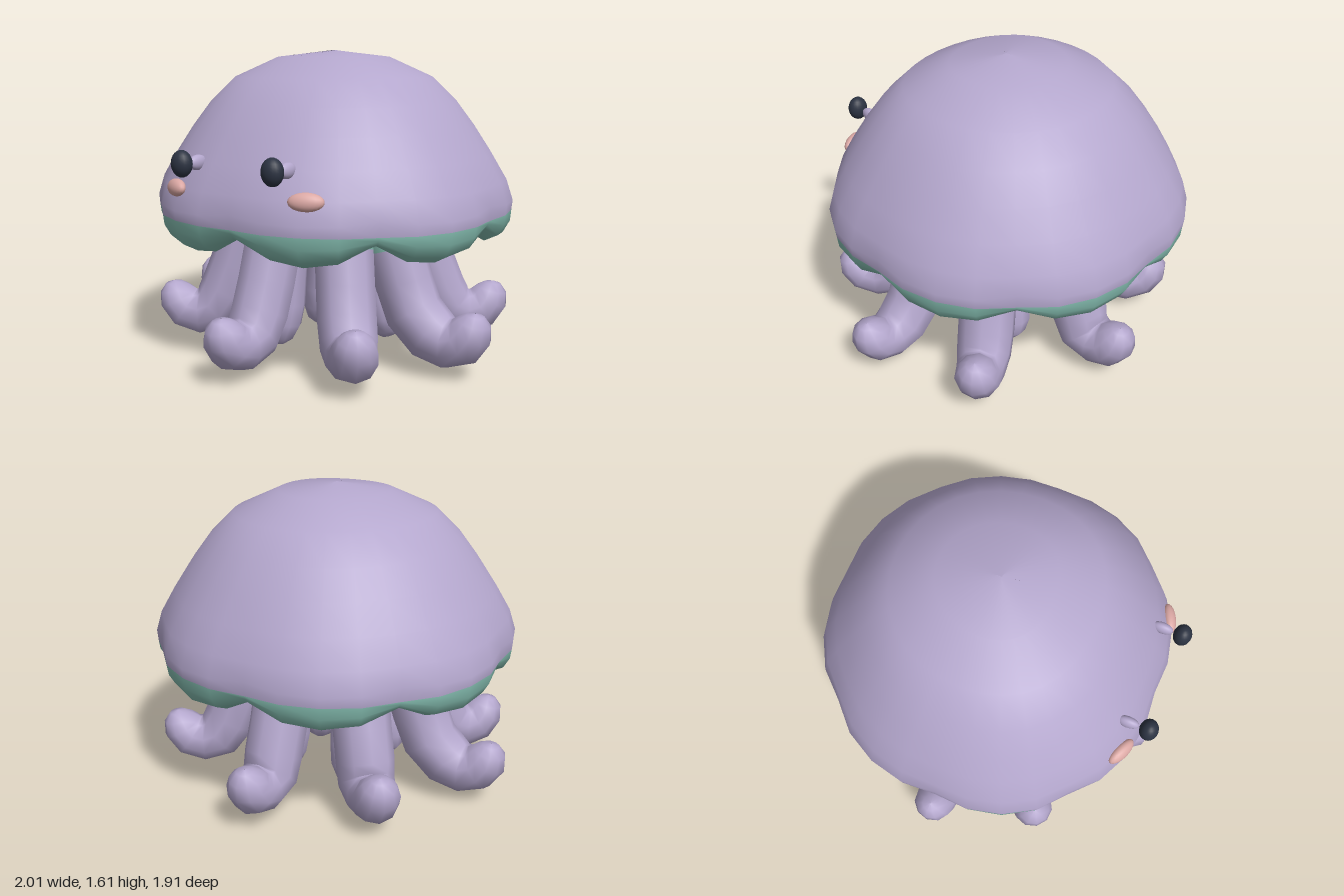
import * as THREE from 'three';

const mat = (color) => new THREE.MeshStandardMaterial({ color, side: THREE.DoubleSide });
const purple = mat(0xb4a7cd);
const green = mat(0x86bfb2);
const dark = mat(0x2c3342);
const pink = mat(0xdba8a4);

// Joins closed rings of points; bands lists [name, material, firstRing, lastRing] along the loft.
function loft(rings, bands) {
  const n = rings[0].length;
  const base = new THREE.BufferGeometry().setFromPoints(rings.flat());
  const indexFor = (from, to) => {
    const index = [];
    for (let i = from; i < to; i++) {
      for (let j = 0; j < n; j++) {
        const k = (j + 1) % n;
        const a = i * n + j, b = a + n, c = (i + 1) * n + k, d = i * n + k;
        index.push(a, b, c, a, c, d);
      }
    }
    return index;
  };
  base.setIndex(indexFor(0, rings.length - 1));
  base.computeVertexNormals();
  const group = new THREE.Group();
  for (const [name, material, from, to] of bands) {
    const geometry = base.clone();
    geometry.setIndex(indexFor(from, to));
    const mesh = new THREE.Mesh(geometry, material);
    mesh.name = name;
    group.add(mesh);
  }
  return group;
}

// Hollow dome with eight soft scallops: each row is [lobe radius, lobe y, cusp radius, cusp y]
function makeBell() {
  const rows = [
    [0.001, 1.61, 0.001, 1.61], [0.29, 1.575, 0.29, 1.575], [0.515, 1.47, 0.515, 1.47],
    [0.645, 1.34, 0.64, 1.34], [0.74, 1.21, 0.735, 1.21], [0.83, 1.07, 0.82, 1.07],
    [0.905, 0.94, 0.885, 0.94], [0.94, 0.83, 0.905, 0.85], [0.935, 0.78, 0.905, 0.78],
    [0.93, 0.72, 0.895, 0.76], [0.895, 0.655, 0.88, 0.74], [0.82, 0.615, 0.84, 0.73],
    [0.74, 0.66, 0.76, 0.74], [0.57, 0.78, 0.57, 0.78], [0.46, 0.86, 0.46, 0.86],
    [0.001, 0.92, 0.001, 0.92],
  ];
  const sides = 32;
  const rings = rows.map(([lr, ly, cr, cy]) => Array.from({ length: sides }, (_, j) => {
    const a = (j / sides) * Math.PI * 2;
    const s = Math.pow(Math.abs(Math.sin(4 * a)), 0.7);
    // Slightly fuller on the diagonals, and the poles sit a little toward the back
    const r = THREE.MathUtils.lerp(cr, lr, s) * (1 + 0.02 * Math.sin(2 * a) ** 2);
    const y = THREE.MathUtils.lerp(cy, ly, s);
    return new THREE.Vector3(Math.sin(a) * r * 1.02, y, Math.cos(a) * r - 0.03 * Math.cos(a) ** 2);
  }));
  const bell = loft(rings, [
    ['bellDome', purple, 0, 8], ['scallopedRim', green, 8, 13], ['bellCeiling', purple, 13, rows.length - 1],
  ]);
  bell.name = 'bell';
  return bell;
}

// Tentacle in the z-y plane: path rows are [z, y, radius]; the second span is the green collar
function makeTentacle(path, name) {
  const sides = 10;
  const rings = path.map(([z, y, r], i) => {
    const p = path[Math.max(i - 1, 0)], q = path[Math.min(i + 1, path.length - 1)];
    const len = Math.hypot(q[0] - p[0], q[1] - p[1]);
    const tz = (q[0] - p[0]) / len, ty = (q[1] - p[1]) / len;
    return Array.from({ length: sides }, (_, j) => {
      const a = (j / sides) * Math.PI * 2;
      const c = Math.cos(a) * r;
      return new THREE.Vector3(Math.sin(a) * r, y + tz * c, z - ty * c);
    });
  });
  const tentacle = loft(rings, [
    ['tentacleRoot', purple, 0, 1], ['tentacleCollar', green, 1, 2], ['tentacleArm', purple, 2, path.length - 1],
  ]);
  tentacle.name = name;
  return tentacle;
}

function ellipsoid(name, material, size, position) {
  const mesh = new THREE.Mesh(new THREE.SphereGeometry(1, 20, 14), material);
  mesh.name = name;
  mesh.scale.set(...size);
  mesh.position.set(...position);
  return mesh;
}

export function createModel() {
  const model = new THREE.Group();
  model.name = 'jellyfish';
  model.add(makeBell());

  // Eight long outer tentacles with upturned tips: [heading in degrees, reach, sideways shift]
  const outer = [
    [0, 0.885, -0.055], [40, 0.9, 0], [90, 0.925, -0.145], [122, 0.89, 0],
    [180, 0.86, -0.065], [221, 0.85, 0], [270, 0.925, -0.065], [304, 0.885, 0],
  ];
  for (const [heading, reach, shift] of outer) {
    const tentacle = makeTentacle([
      [0.4, 0.89, 0.13], [0.43, 0.78, 0.145], [0.475, 0.62, 0.15], [0.53, 0.45, 0.15],
      [0.59, 0.3, 0.15], [reach - 0.23, 0.2, 0.145], [reach - 0.14, 0.17, 0.13],
      [reach - 0.06, 0.195, 0.12], [reach - 0.02, 0.25, 0.11], [reach - 0.005, 0.3, 0.085],
      [reach, 0.335, 0.045], [reach, 0.345, 0.002],
    ], 'outerTentacle');
    tentacle.rotation.y = THREE.MathUtils.degToRad(heading);
    tentacle.translateX(shift);
    model.add(tentacle);
  }

  // Four short inner tentacles hanging nearly straight
  const innerPath = [
    [0.19, 0.91, 0.1], [0.205, 0.78, 0.105], [0.225, 0.62, 0.105], [0.25, 0.42, 0.105],
    [0.275, 0.24, 0.12], [0.3, 0.13, 0.122], [0.315, 0.05, 0.095], [0.325, 0.01, 0.05],
    [0.328, 0, 0.002],
  ];
  for (let i = 0; i < 4; i++) {
    const tentacle = makeTentacle(innerPath, 'innerTentacle');
    tentacle.rotation.y = ((i + 0.5) / 4) * Math.PI * 2;
    model.add(tentacle);
  }

  // Face: eyes in front of small nubs, with a flat cheek below each
  for (const side of [-1, 1]) {
    model.add(ellipsoid('eye', dark, [0.055, 0.066, 0.048], [side * 0.27, 1.075, 0.895]));
    model.add(ellipsoid('eyeNub', purple, [0.028, 0.038, 0.06], [side * 0.27, 1.07, 0.785]));
    const cheek = ellipsoid('cheek', pink, [0.085, 0.044, 0.035], [side * 0.39, 0.94, 0.81]);
    cheek.rotation.set(-0.3, side * 0.43, 0, 'YXZ');
    model.add(cheek);
  }
  return model;
}
